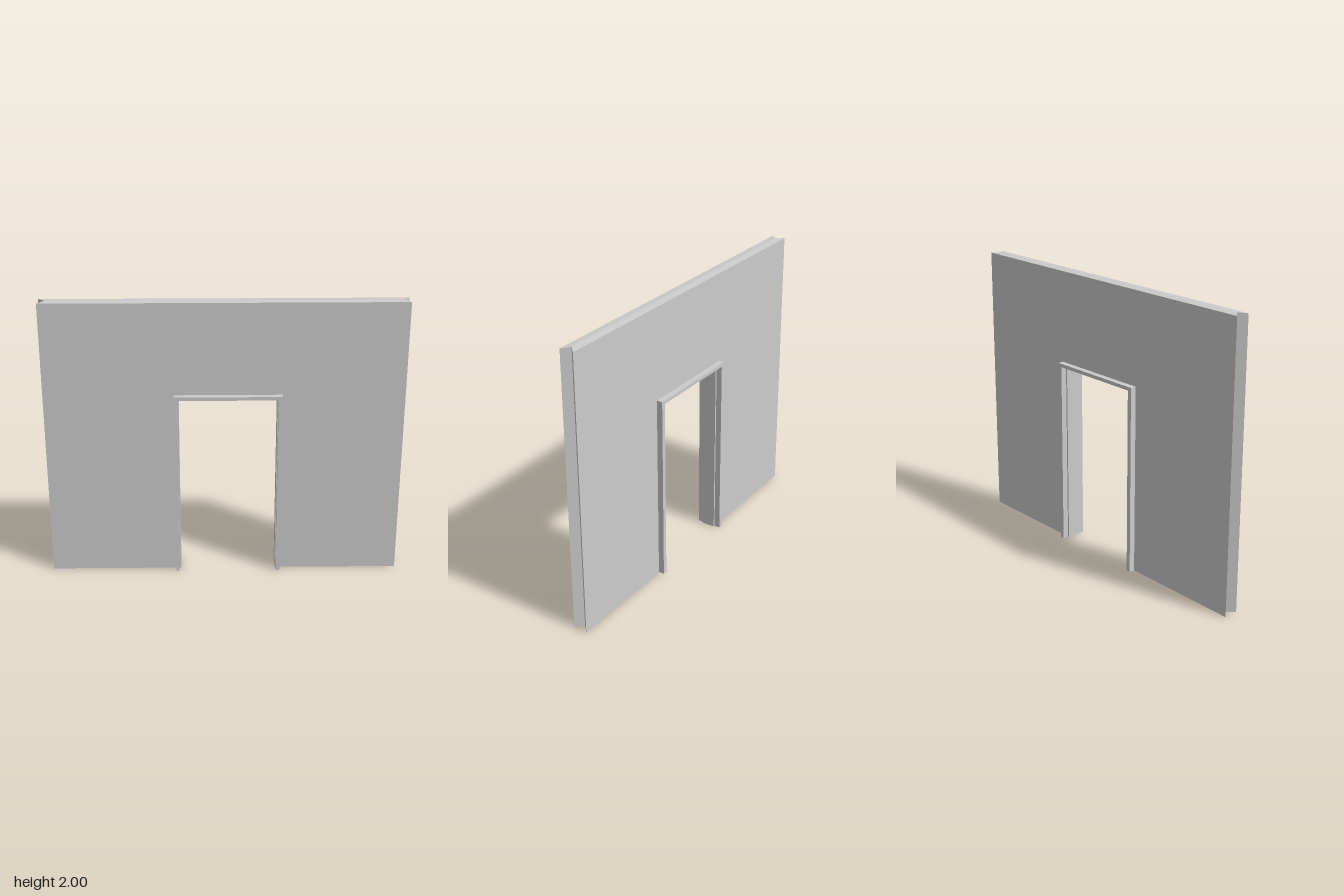
import * as THREE from 'three';

const material = new THREE.MeshStandardMaterial({ color: 0xcccccc, flatShading: true });
const HALF = 0.0495; // half the wall thickness

// Upside-down U outline: outer rectangle with a doorway open to the floor
function archShape(left, right, top, innerLeft, innerRight, innerTop) {
  return new THREE.Shape([
    [left, 0], [innerLeft, 0], [innerLeft, innerTop], [innerRight, innerTop],
    [innerRight, 0], [right, 0], [right, top], [left, top],
  ].map(([x, y]) => new THREE.Vector2(x, y)));
}

function extruded(name, shape, z, depth, steps) {
  const geometry = new THREE.ExtrudeGeometry(shape, { depth, steps, bevelEnabled: false });
  geometry.translate(0, 0, z);
  const mesh = new THREE.Mesh(geometry, material);
  mesh.name = name;
  return mesh;
}

export function createModel() {
  const model = new THREE.Group();
  model.name = 'wallWithDoorway';

  // Wall panel: the middle section is pulled in at the ends (V notch) and raised on top (slight ridge)
  const end = 1.23, top = 1.995;
  const wall = extruded('wall', archShape(-end, end, top, -0.312, 0.361, 1.315), -HALF, 2 * HALF, 2);
  const p = wall.geometry.attributes.position;
  for (let i = 0; i < p.count; i++) {
    if (Math.abs(p.getZ(i)) > 0.01) continue;
    if (Math.abs(p.getX(i)) > 1) p.setX(i, Math.sign(p.getX(i)) * (end - HALF));
    if (p.getY(i) > 1.9) p.setY(i, 2);
  }
  wall.geometry.computeVertexNormals();

  // Door trims standing proud of both wall faces
  const trimDepth = 0.042;
  const frontTrim = extruded('frontDoorTrim',
    archShape(-0.344, 0.396, 1.345, -0.324, 0.367, 1.32), HALF, trimDepth, 1);
  const backTrim = extruded('backDoorTrim',
    archShape(-0.355, 0.403, 1.345, -0.324, 0.372, 1.32), -HALF - trimDepth, trimDepth, 1);

  // The whole panel runs diagonally
  const panel = new THREE.Group();
  panel.name = 'panel';
  panel.add(wall, frontTrim, backTrim);
  panel.rotation.y = -Math.PI / 4;
  model.add(panel);
  return model;
}
